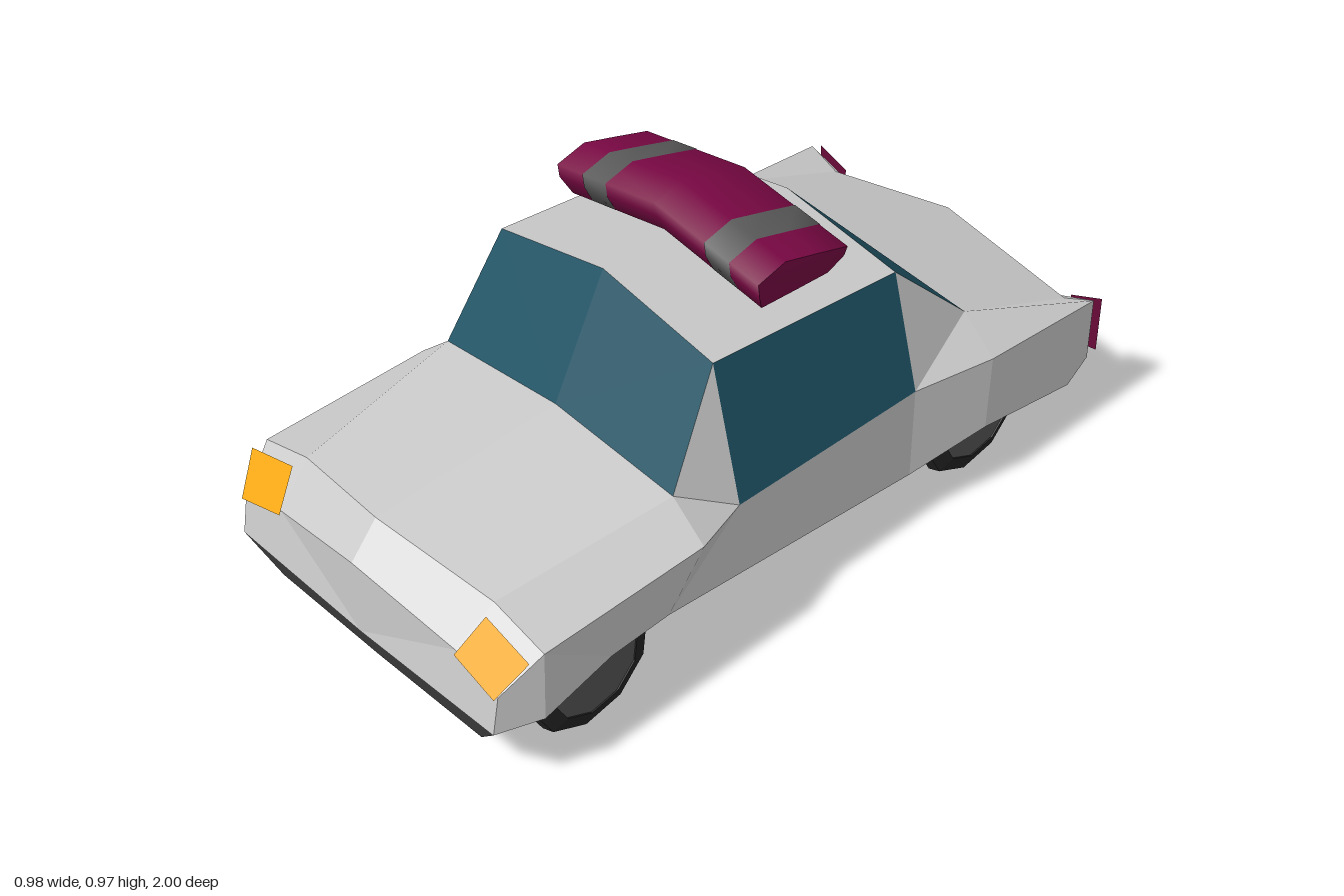
import * as THREE from 'three';

const mat = (color, o = {}) => new THREE.MeshStandardMaterial({ color, ...o });
const panelMat = (color) => mat(color, { side: THREE.DoubleSide });
const paint = panelMat(0xcccccc), glass = panelMat(0x1f5466), dark = panelMat(0x444444);
const amber = panelMat(0xf5a912), red = panelMat(0x680a38), rollMat = panelMat(0x7a0844);
const strapMat = panelMat(0x5a5a5a), underMat = mat(0x444444);
const tyreMat = mat(0x242424, { flatShading: true }), hubMat = mat(0x555555, { flatShading: true });

// Corners of the left (+x) half of the car
const P = {
  hoodC: [0, .52, .925], hoodS: [.33, .457, .87], wing: [.49, .415, .87],
  cowlC: [0, .545, .4], cowlS: [.39, .51, .4], cowlO: [.49, .425, .4],
  roofFC: [0, .85, .245], roofFS: [.355, .78, .245],
  roofRC: [0, .79, -.35], roofRS: [.355, .727, -.35],
  doorF: [.445, .425, .245], doorR: [.445, .425, -.345],
  deckC: [0, .545, -.575], deckS: [.39, .515, -.575], deckO: [.49, .425, -.575],
  tailC: [0, .44, -.965], tailS: [.4, .36, -.965], tailO: [.49, .4, -.965],
  noseC: [0, .433, 1], noseM: [.31, .367, .968], noseS: [.45, .325, .97],
  chinC: [0, .225, .996], chinS: [.45, .225, .988], chinO: [.49, .225, .875],
  archF: [.49, .28, .68], sillF: [.445, .23, .465], sillR: [.445, .165, -.345],
  archR: [.49, .215, -.57], lowR: [.49, .168, -.895],
  lowO: [.49, .22, -.965], lowC: [0, .22, -.965],
  // bumper undersides
  fC: [0, .125, .955], fS: [.36, .125, .952], fB: [.36, .125, .875], fBC: [0, .125, .875], fT: [0, .225, .875],
  rC: [0, .13, -.965], rS: [.36, .13, -.965], rB: [.36, .13, -.895], rBC: [0, .13, -.895], rT: [0, .168, -.895],
  // lamps; the left headlight is a little narrower than the right
  hlA: [.49, .414, .912], hlB: [.328, .457, .912], hlC: [.298, .37, .982], hlD: [.45, .325, .982],
  hlBLeft: [.352, .457, .912], hlCLeft: [.322, .37, .982],
  tlA: [.395, .35, -1], tlB: [.49, .387, -1], tlC: [.49, .225, -1], tlD: [.395, .215, -1],
  // wheel wells and underbody, inner wall at x = 0.3
  wA: [.3, .13, .465], wB: [.3, .36, .465], wC: [.41, .36, .465],
  wE: [.3, .36, .84], wF: [.3, .2, .84], wI: [.3, .2, .465],
  vA: [.3, .13, -.345], vB: [.3, .33, -.345], vC: [.42, .33, -.345],
  vE: [.3, .33, -.8], vF: [.3, .2, -.8], vI: [.3, .2, -.345],
};

// Panels from named corners, one normal per panel, on the given sides
function panels(name, material, faces, sides = [1, -1]) {
  const pos = [], nor = [];
  for (const face of faces) {
    const c = face.split(' ').map((k) => new THREE.Vector3(...P[k]));
    const tris = [], n = new THREE.Vector3();
    for (let i = 1; i < c.length - 1; i++) {
      tris.push([c[0], c[i], c[i + 1]]);
      n.add(c[i].clone().sub(c[0]).cross(c[i + 1].clone().sub(c[0])));
    }
    n.normalize();
    for (const s of sides)
      for (const [a, b, d] of tris)
        for (const q of s > 0 ? [a, b, d] : [a, d, b]) {
          pos.push(s * q.x, q.y, q.z);
          nor.push(s * n.x, n.y, n.z);
        }
  }
  const g = new THREE.BufferGeometry();
  g.setAttribute('position', new THREE.Float32BufferAttribute(pos, 3));
  g.setAttribute('normal', new THREE.Float32BufferAttribute(nor, 3));
  const m = new THREE.Mesh(g, material);
  m.name = name;
  return m;
}

// Wheel: ten-sided tyre with a recessed hub, axle along x
function wheel(name, side, z) {
  const w = new THREE.Group();
  const prof = [[.128, -.04], [.165, -.04], [.182, -.005], [.174, .025], [.128, .042], [.128, -.04]];
  const tyre = new THREE.Mesh(
    new THREE.LatheGeometry(prof.map(([r, y]) => new THREE.Vector2(r, y)), 10), tyreMat);
  tyre.name = 'tyre';
  const hub = new THREE.Mesh(new THREE.CylinderGeometry(.131, .131, .076, 10), hubMat);
  hub.name = 'hub';
  w.add(tyre, hub);
  w.name = name;
  w.rotation.set(.2, 0, -side * Math.PI / 2);
  w.position.set(side * .38, .181, z);
  return w;
}

// Bedroll cross-section (z, y) at the middle of the car
const section = [
  [.085, .953], [0, .975], [-.1, .947], [-.203, .917], [-.203, .887],
  [-.168, .848], [-.06, .856], [.055, .866], [.08, .915],
];

// Sleeve of the bedroll through x stations, drooping towards the ends
function sleeve(name, material, xs, grow, capped) {
  const n = section.length, last = xs.length - 1, pos = [], idx = [];
  for (const x of xs)
    for (const [sz, sy] of section) {
      const y = .91 + (sy - .91) * grow, z = -.06 + (sz + .06) * grow;
      const tuck = capped ? Math.max(0, .91 - y) * .4 : 0;
      pos.push(x - Math.sign(x) * tuck, y - Math.abs(x) * .165, z);
    }
  for (let k = 0; k < last; k++)
    for (let i = 0; i < n; i++) {
      const a = k * n + i, b = k * n + (i + 1) % n;
      idx.push(a, b, a + n, b, b + n, a + n);
    }
  if (capped) for (const k of [0, last]) {
    const start = pos.length / 3;
    pos.push(...pos.slice(k * n * 3, (k + 1) * n * 3));
    for (let i = 1; i < n - 1; i++)
      idx.push(start, ...(k ? [start + i, start + i + 1] : [start + i + 1, start + i]));
  }
  const g = new THREE.BufferGeometry();
  g.setAttribute('position', new THREE.Float32BufferAttribute(pos, 3));
  g.setIndex(idx);
  g.computeVertexNormals();
  const mesh = new THREE.Mesh(g, material);
  mesh.name = name;
  return mesh;
}

export function createModel() {
  const car = new THREE.Group();
  car.name = 'car';

  car.add(
    panels('hood', paint, ['hoodC hoodS cowlS cowlC', 'hoodS wing cowlO cowlS']),
    panels('nose', paint, [
      'noseC noseM hoodS hoodC', 'noseM noseS wing hoodS', 'noseC chinC noseM',
      'chinC chinS noseS noseM', 'noseS chinS chinO wing']),
    panels('bodySides', paint, [
      'chinO archF wing', 'wing archF sillF cowlO', 'cowlO sillF doorF',
      'doorF sillF sillR doorR', 'doorR sillR archR deckO', 'archR lowR lowO tailO deckO']),
    panels('pillars', paint, [
      'roofFS cowlS doorF', 'cowlS cowlO doorF', 'roofRS doorR deckS', 'doorR deckO deckS']),
    panels('roof', paint, ['roofFC roofFS roofRS roofRC']),
    panels('trunk', paint, [
      'deckC deckS tailS tailC', 'deckS deckO tailO tailS', 'lowC tailC tailS tailO lowO']),
    panels('windshield', glass, ['cowlC cowlS roofFS roofFC']),
    panels('rearWindow', glass, ['roofRC roofRS deckS deckC']),
    panels('sideWindows', glass, ['roofFS doorF doorR roofRS']),
    panels('frontBumper', dark, [
      'chinC fC fS chinS', 'chinS fS chinO', 'chinO fS fB', 'fC fBC fB fS', 'chinO fB fBC fT']),
    panels('rearBumper', dark, [
      'lowC lowO rS rC', 'lowO lowR rB rS', 'rC rS rB rBC', 'lowR rT rBC rB']),
    panels('leftHeadlight', amber, ['hlA hlBLeft hlCLeft hlD'], [1]),
    panels('rightHeadlight', amber, ['hlA hlB hlC hlD'], [-1]),
    panels('tailLights', red, ['tlA tlB tlC tlD']),
    panels('wheelWells', dark, [
      'wA wB wC sillF', 'wI wF wE wB', 'vA sillR vC vB', 'vI vB vE vF']),
    // underbody sides face outwards only
    panels('underbodySides', underMat, ['wA vA vB wB']),
  );

  for (const s of [1, -1]) {
    const label = s > 0 ? 'left' : 'right';
    car.add(wheel(label + 'FrontWheel', s, .667), wheel(label + 'RearWheel', s, -.628));
  }

  // Bedroll strapped to the roof
  const roll = new THREE.Group();
  roll.name = 'bedroll';
  roll.add(sleeve('roll', rollMat, [-.333, 0, .333], 1, true));
  for (const s of [1, -1]) {
    roll.add(sleeve('strap', strapMat, s > 0 ? [.163, .243] : [-.243, -.163], 1.015, false));
    const foot = new THREE.Mesh(new THREE.BoxGeometry(.06, .04, .05), strapMat);
    foot.name = 'strapFoot';
    foot.position.set(s * .205, .82, -.09);
    roll.add(foot);
  }
  car.add(roll);
  return car;
}
